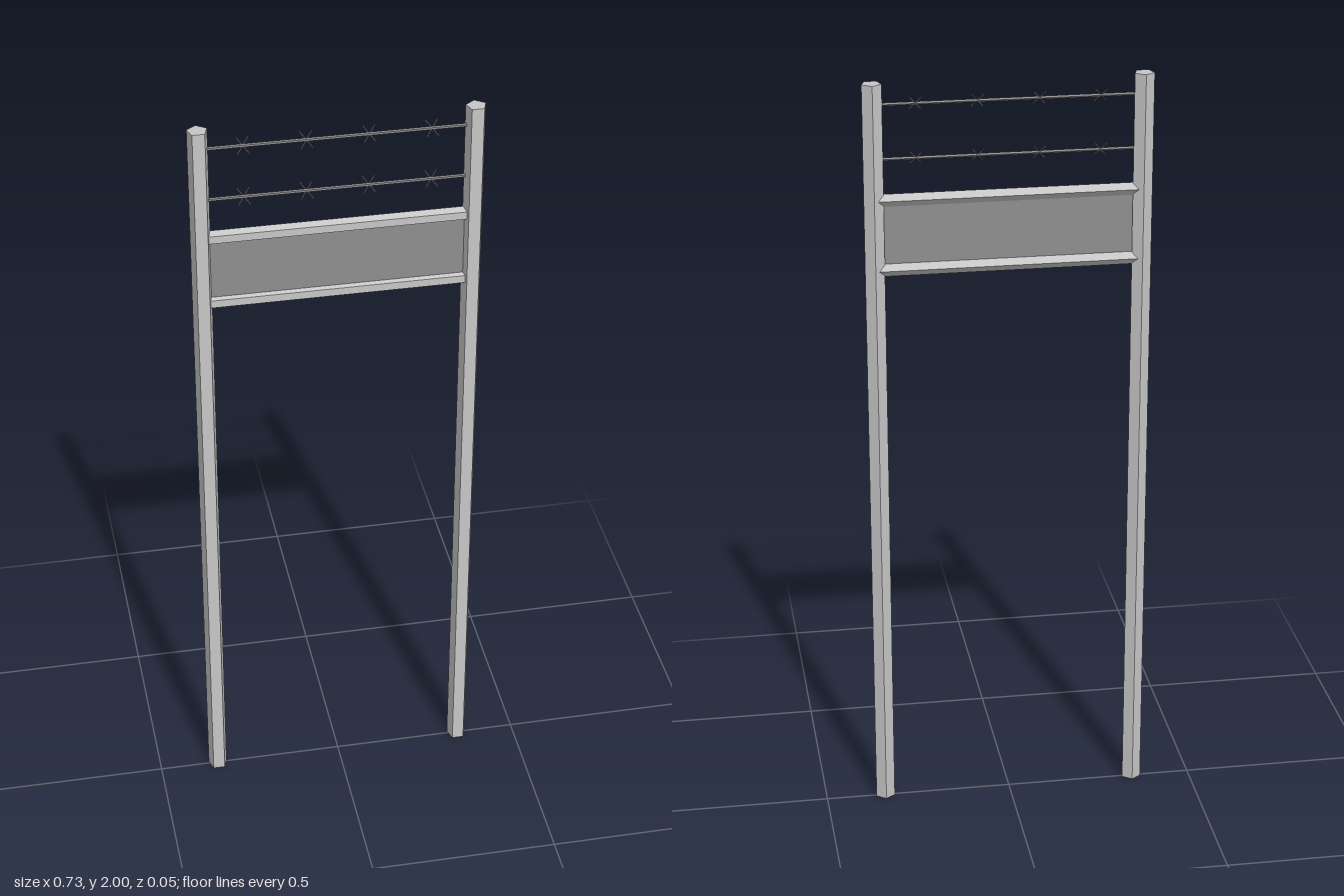
import * as THREE from 'three';

export function createModel() {
  const model = new THREE.Group();
  const material = (name, color) => {
    const m = new THREE.MeshStandardMaterial({ color, flatShading: true });
    m.name = name;
    return m;
  };
  const lightSteel = material('light steel', 0xc8c8c8);
  const darkSteel = material('dark steel', 0x909090);

  const add = (name, geometry, mat, x, y, z) => {
    const mesh = new THREE.Mesh(geometry, mat);
    mesh.name = name;
    mesh.position.set(x, y, z);
    model.add(mesh);
    return mesh;
  };

  // Five-sided bar with one edge pointing to the back
  const bar = (radius, length) =>
    new THREE.CylinderGeometry(radius, radius, length, 5, 1, false, Math.PI);

  // Upright posts
  for (const [name, side] of [['leftPost', 1], ['rightPost', -1]]) {
    add(name, bar(0.0263, 2), lightSteel, side * 0.341, 1, 0.0025);
  }

  // Horizontal rails framing the panel
  for (const [name, y] of [['topRail', 1.701], ['bottomRail', 1.517]]) {
    add(name, bar(0.0174, 0.672), lightSteel, 0, y, 0.0012).rotation.z = Math.PI / 2;
  }

  // Panel between the rails
  add('panel', new THREE.BoxGeometry(0.66, 0.18, 0.005), darkSteel, 0, 1.609, 0.001);

  // Barbed wires, each barb a pair of crossed spikes leaning back
  const up = new THREE.Vector3(0, 1, 0);
  const spike = new THREE.CylinderGeometry(0.0017, 0.0017, 0.052, 5);
  for (const [name, y] of [['upperWire', 1.947], ['lowerWire', 1.807]]) {
    add(name, bar(0.0045, 0.66), darkSteel, 0, y, 0).rotation.z = Math.PI / 2;
    for (let i = 0; i < 4; i++) {
      for (const lean of [-1, 1]) {
        const direction = new THREE.Vector3(lean * 0.015, 0.018, -0.011).normalize();
        add('barb', spike, darkSteel, -0.232 + i * 0.155, y, 0)
          .quaternion.setFromUnitVectors(up, direction);
      }
    }
  }
  return model;
}
